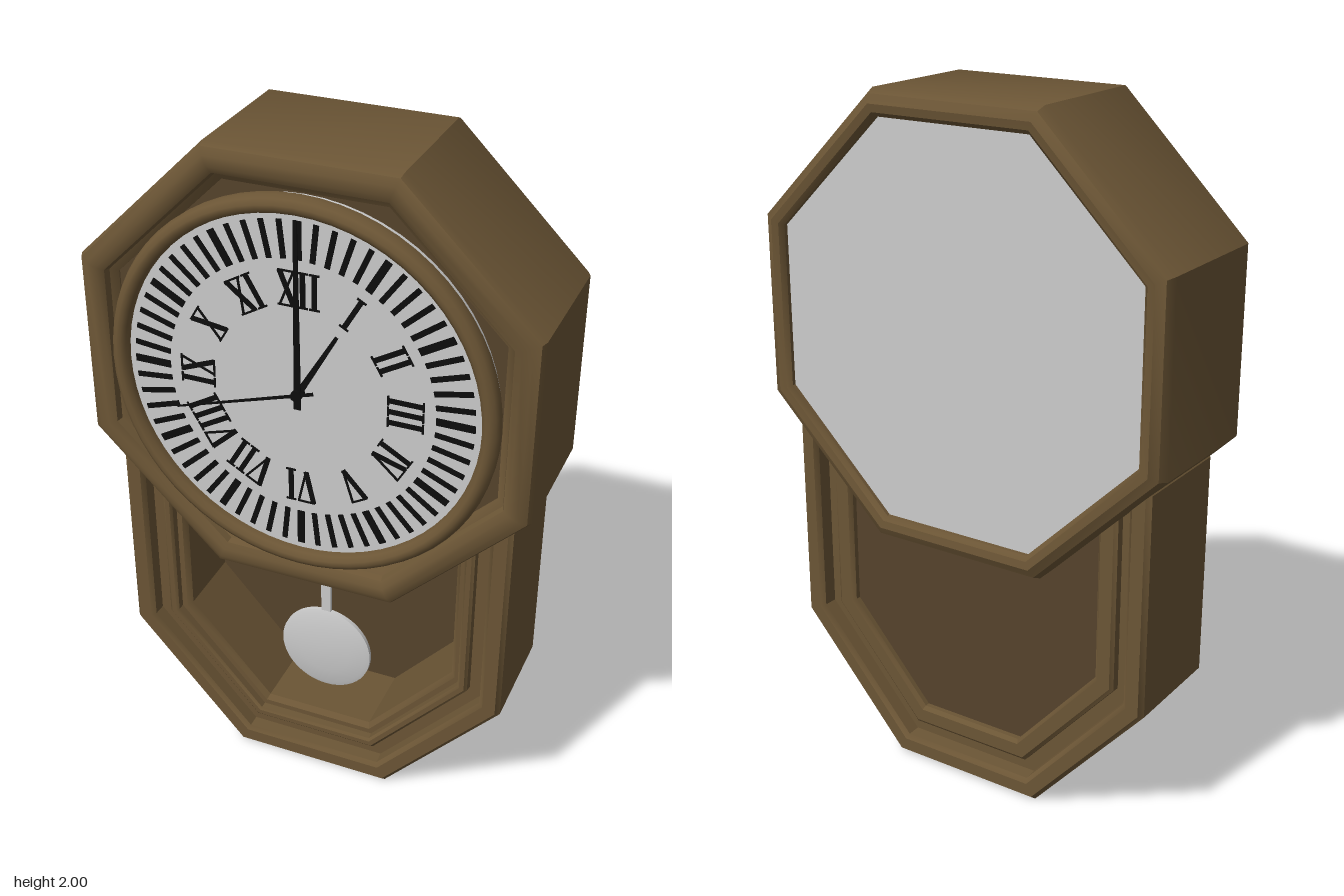
import * as THREE from 'three';
import { mergeGeometries, toCreasedNormals } from 'three/addons/utils/BufferGeometryUtils.js';

const mat = (color) => new THREE.MeshStandardMaterial({ color, roughness: 0.8 });

// Elongated octagon, counter-clockwise: half width, half height, half top edge, half side edge
const octagon = (hw, hh, tx, sy) => [
  [hw, -sy], [hw, sy], [tx, hh], [-tx, hh], [-hw, sy], [-hw, -sy], [-tx, -hh], [tx, -hh],
].map(([x, y]) => new THREE.Vector2(x, y));

// Move every edge of a polygon inwards by d
function inset(poly, d) {
  const n = poly.length;
  const normal = (a, b) => new THREE.Vector2(b.y - a.y, a.x - b.x).normalize();
  return poly.map((p, i) => {
    const n1 = normal(poly[(i + n - 1) % n], p);
    const n2 = normal(p, poly[(i + 1) % n]);
    return p.clone().addScaledVector(n1.clone().add(n2), -d / (1 + n1.dot(n2)));
  });
}

// Sweep a closed [inset, z] moulding profile around a polygon
function moulding(poly, profile) {
  const pos = [];
  const n = poly.length;
  const rings = profile.map(([d, z]) => inset(poly, d).map((p) => [p.x, p.y, z]));
  rings.forEach((ring, i) => {
    const next = rings[(i + 1) % rings.length];
    for (let k = 0; k < n; k++) {
      const j = (k + 1) % n;
      pos.push(...ring[k], ...ring[j], ...next[j], ...ring[k], ...next[j], ...next[k]);
    }
  });
  const g = new THREE.BufferGeometry();
  g.setAttribute('position', new THREE.Float32BufferAttribute(pos, 3));
  return toCreasedNormals(g, 0.6);
}

function panel(poly, z0, z1) {
  const g = new THREE.ExtrudeGeometry(new THREE.Shape(poly), { depth: z1 - z0, bevelEnabled: false });
  return g.translate(0, 0, z0);
}

// Flat bar on the dial, centred at x, y and turned by angle
const bar = (x, y, w, h, angle = 0) =>
  new THREE.BoxGeometry(w, h, 0.004).rotateZ(angle).translate(x, y, 0);

// Hour mark made of upright and slanted strokes
function hourMark(code) {
  const H = 0.1;
  const width = (c) => (c === 'I' ? 0.032 : 0.056);
  let x = -[...code].reduce((s, c) => s + width(c), 0) / 2;
  const out = [];
  for (const c of code) {
    const w = width(c);
    const m = x + w / 2;
    if (c === 'I') {
      out.push(bar(m, 0, 0.014, H));
    } else if (c === 'V') {
      out.push(bar(m - 0.011, 0, 0.014, H, 0.22), bar(m + 0.011, 0, 0.006, H, -0.22));
    } else {
      out.push(bar(m, 0, 0.014, H * 1.04, 0.38), bar(m, 0, 0.006, H * 1.04, -0.38));
    }
    // serifs
    for (const s of c === 'V' ? [1] : [1, -1]) out.push(bar(m, s * H * 0.48, w * 0.88, 0.005));
    x += w;
  }
  return mergeGeometries(out);
}

export function createModel() {
  const model = new THREE.Group();
  const wood = mat(0x6b5535);
  const darkWood = mat(0x56432c);
  const grey = mat(0xcccccc);
  const black = mat(0x0c0c0c);
  const add = (name, geo, material, parent = model) => {
    const m = new THREE.Mesh(geo, material);
    m.name = name;
    parent.add(m);
    return m;
  };

  // Octagonal head
  const head = new THREE.Group();
  head.name = 'head';
  head.position.y = 1.365;
  model.add(head);
  const headOutline = octagon(0.64, 0.635, 0.265, 0.265);
  add('headFrame', moulding(headOutline, [
    [0, -0.2], [0, 0.19], [0.008, 0.208], [0.028, 0.22], [0.055, 0.22], [0.074, 0.208],
    [0.08, 0.19], [0.1, 0.175], [0.1, -0.2], [0.072, -0.2], [0.07, -0.225], [0.058, -0.238],
    [0.036, -0.242], [0.012, -0.228],
  ]), wood, head);
  add('headFrontPanel', panel(inset(headOutline, 0.09), 0.15, 0.17), darkWood, head);
  add('headBackPanel', panel(inset(headOutline, 0.06), -0.215, -0.195), grey, head);

  // Dial with its round bezel
  const dial = new THREE.Group();
  dial.name = 'dial';
  dial.position.y = -0.005;
  head.add(dial);
  add('dialPlate', new THREE.CylinderGeometry(0.535, 0.535, 0.045, 64)
    .rotateX(Math.PI / 2).translate(0, 0, 0.1925), grey, dial);
  const bezelProfile = [
    [0.5, 0.2], [0.547, 0.2], [0.549, 0.222], [0.542, 0.236], [0.528, 0.245], [0.516, 0.244],
    [0.504, 0.234], [0.5, 0.218], [0.5, 0.2],
  ].map(([r, z]) => new THREE.Vector2(r, z));
  add('bezel', toCreasedNormals(new THREE.LatheGeometry(bezelProfile, 64).rotateX(Math.PI / 2), 0.7), wood, dial);

  // Minute ticks, thicker on the hours
  const ticks = [];
  for (let i = 0; i < 60; i++) {
    const hour = i % 5 === 0;
    ticks.push(bar(0, 0.43, hour ? 0.021 : 0.015, 0.105).rotateZ(-i * Math.PI / 30));
  }
  add('minuteTicks', mergeGeometries(ticks).translate(0, 0, 0.216), black, dial);

  // Hour marks, tops facing outwards
  const codes = ['XII', 'I', 'II', 'III', 'IV', 'V', 'VI', 'VII', 'VIII', 'IX', 'X', 'XI'];
  const marks = codes.map((c, i) => hourMark(c).translate(0, 0.295, 0).rotateZ(-i * Math.PI / 6));
  add('hourMarks', mergeGeometries(marks).translate(0, 0, 0.216), black, dial);

  // Hands: tapered blades with a short tail
  const hand = (name, length, tail, w, angle, z) => {
    const s = new THREE.Shape([[-w / 2, -tail], [w / 2, -tail], [w / 4, length], [-w / 4, length]]
      .map(([x, y]) => new THREE.Vector2(x, y)));
    const g = new THREE.ExtrudeGeometry(s, { depth: 0.004, bevelEnabled: false });
    add(name, g.rotateZ(angle).translate(0, 0, z), black, dial);
  };
  hand('hourHand', 0.215, 0.03, 0.02, -Math.PI / 6, 0.222);
  hand('minuteHand', 0.49, 0.045, 0.02, 0, 0.229);
  hand('secondHand', 0.37, 0.05, 0.009, 1.88, 0.236);
  add('handPivot', new THREE.CylinderGeometry(0.015, 0.015, 0.028, 20)
    .rotateX(Math.PI / 2).translate(0, 0, 0.228), black, dial);

  // Pendulum case, its upper end inside the head
  const lower = new THREE.Group();
  lower.name = 'pendulumCase';
  lower.position.y = 0.715;
  model.add(lower);
  const caseOutline = octagon(0.585, 0.715, 0.24, 0.325);
  add('caseFrame', moulding(caseOutline, [
    [0, -0.175], [0, 0.15], [0.012, 0.163], [0.05, 0.163], [0.062, 0.152], [0.064, 0.115],
    [0.104, 0.115], [0.106, 0.136], [0.114, 0.143], [0.128, 0.143], [0.135, 0.136], [0.136, 0.115],
    [0.152, 0.115], [0.165, 0.1], [0.165, -0.155], [0.155, -0.166], [0.116, -0.166], [0.106, -0.158],
    [0.104, -0.138], [0.064, -0.138], [0.062, -0.178], [0.05, -0.19], [0.012, -0.19],
  ]), wood, lower);
  add('caseBackPanel', panel(inset(caseOutline, 0.15), -0.14, -0.12), darkWood, lower);

  // Pendulum
  const pendulum = new THREE.Group();
  pendulum.name = 'pendulum';
  pendulum.position.set(0, 0.365, 0.04);
  model.add(pendulum);
  add('pendulumRod', new THREE.BoxGeometry(0.03, 0.5, 0.012).translate(0, 0.36, 0), grey, pendulum);
  const bobProfile = [[0, -0.022], [0.08, -0.018], [0.13, -0.01], [0.143, -0.006], [0.143, 0.006],
    [0.13, 0.01], [0.08, 0.018], [0, 0.022]].map(([r, z]) => new THREE.Vector2(r, z));
  add('pendulumBob', toCreasedNormals(new THREE.LatheGeometry(bobProfile, 48).rotateX(Math.PI / 2), 0.6), grey, pendulum);

  return model;
}
